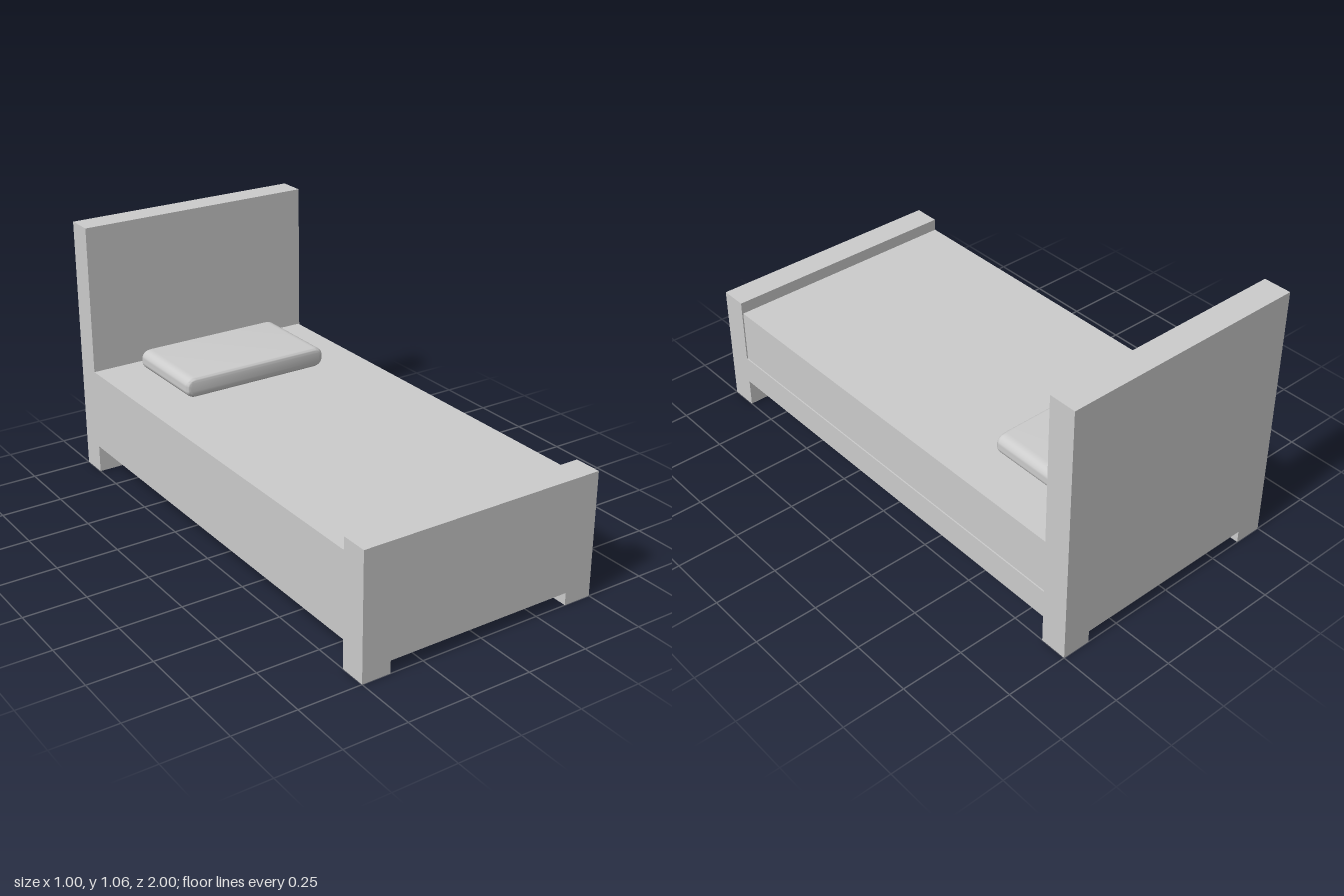
import * as THREE from 'three';
import { toCreasedNormals } from 'three/addons/utils/BufferGeometryUtils.js';

const material = new THREE.MeshStandardMaterial({ color: 0xcccccc });

function add(group, name, geometry, x, y, z) {
  const mesh = new THREE.Mesh(geometry, material);
  mesh.name = name;
  mesh.position.set(x, y, z);
  group.add(mesh);
}

// Upright board with two short feet left by a shallow notch at the bottom
function boardGeometry(height, depth) {
  const shape = new THREE.Shape();
  [[-0.5, 0], [-0.385, 0], [-0.385, 0.05], [0.385, 0.05], [0.385, 0], [0.5, 0], [0.5, height], [-0.5, height]]
    .forEach(([x, y], i) => (i ? shape.lineTo(x, y) : shape.moveTo(x, y)));
  return new THREE.ExtrudeGeometry(shape, { depth, bevelEnabled: false });
}

// Softly rounded slab: broad rounding at the ends, small bevel front and back
function pillowGeometry(width, height, depth) {
  const bevel = 0.016;
  const w = width / 2 - bevel, h = height / 2 - bevel;
  const rx = 0.028, ry = h * 0.95;
  const shape = new THREE.Shape();
  shape.moveTo(-w + rx, -h);
  shape.lineTo(w - rx, -h);
  shape.quadraticCurveTo(w, -h, w, -h + ry);
  shape.lineTo(w, h - ry);
  shape.quadraticCurveTo(w, h, w - rx, h);
  shape.lineTo(-w + rx, h);
  shape.quadraticCurveTo(-w, h, -w, h - ry);
  shape.lineTo(-w, -h + ry);
  shape.quadraticCurveTo(-w, -h, -w + rx, -h);
  const geometry = new THREE.ExtrudeGeometry(shape, {
    depth: depth - 2 * bevel, bevelThickness: bevel, bevelSize: bevel, bevelSegments: 5, curveSegments: 8,
  });
  geometry.center();
  return toCreasedNormals(geometry, 0.8);
}

export function createModel() {
  const bed = new THREE.Group();
  bed.name = 'bed';

  // End boards
  add(bed, 'headboard', boardGeometry(1.06, 0.11), 0, 0, -1);
  add(bed, 'footboard', boardGeometry(0.5, 0.11), 0, 0, 0.89);

  // Frame, with the mattress set in slightly on one side
  add(bed, 'frame', new THREE.BoxGeometry(1, 0.115, 1.78), 0, 0.1725, 0);
  add(bed, 'mattress', new THREE.BoxGeometry(0.995, 0.22, 1.78), -0.0025, 0.34, 0);

  // Pillow
  add(bed, 'pillow', pillowGeometry(0.64, 0.082, 0.385), -0.003, 0.49, -0.625);

  return bed;
}
